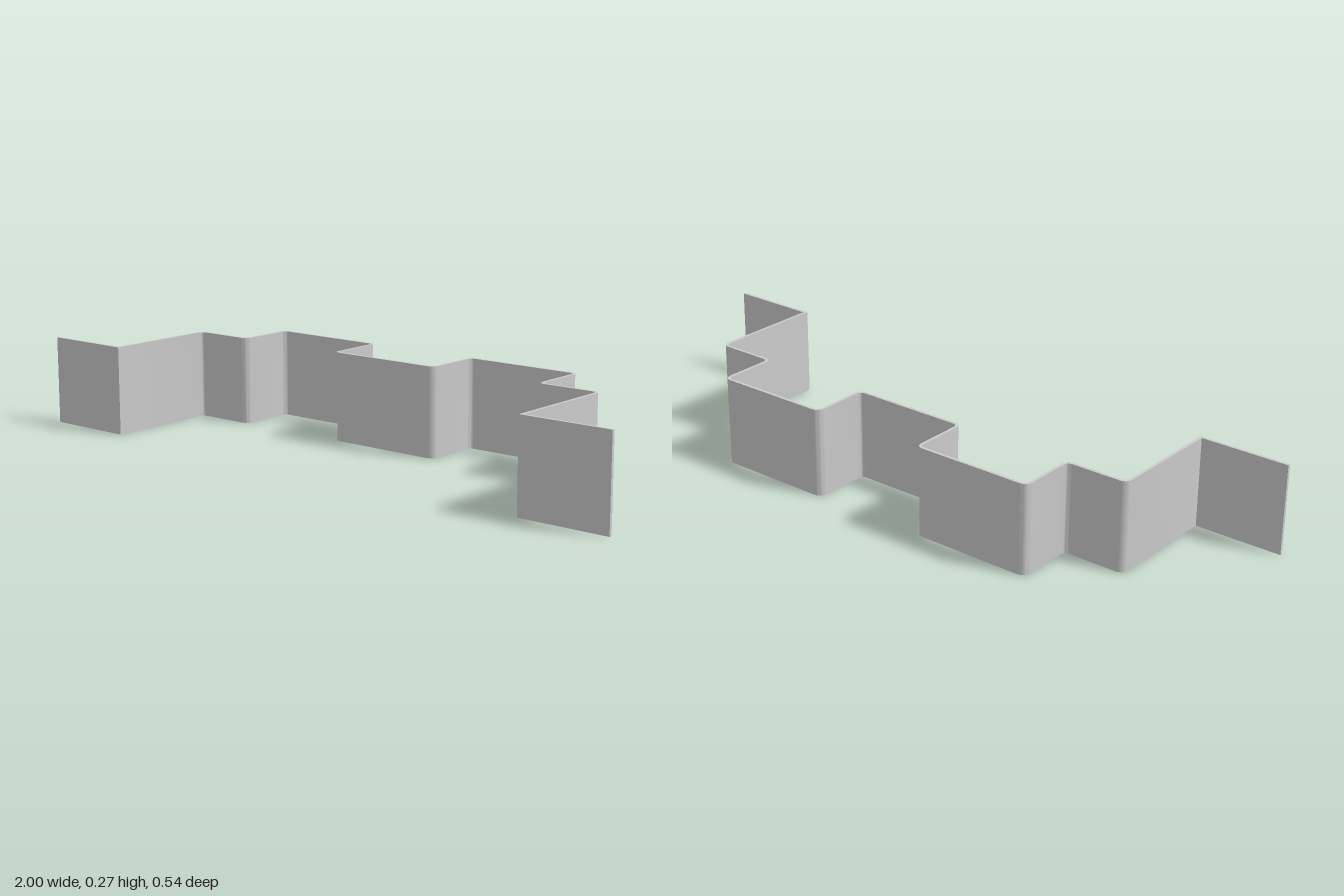
import * as THREE from 'three';
import { toCreasedNormals } from 'three/addons/utils/BufferGeometryUtils.js';

const HEIGHT = 0.266, HALF = 0.0045, BEND = 0.019;

// Centre line of the strip in (x, -z): [x, y, bend radius], left half mirrored from the right.
const half = [
  [0.181, 0.089, BEND], [0.181, 0.266, BEND], [0.543, 0.266, BEND],
  [0.543, 0.089, BEND], [0.731, 0.089, BEND], [0.731, -0.266, 0], [1, -0.266, 0],
];
const path = [...half.map(([x, y, r]) => [-x, y, r]).reverse(), ...half];

// One face of the strip: the centre line shifted sideways, with concentric bends.
function offsetLine(side) {
  const pts = [];
  const corner = path.map(([x, y]) => new THREE.Vector2(x, y));
  const normal = (d) => new THREE.Vector2(-d.y, d.x);
  corner.forEach((c, i) => {
    const before = i > 0 && c.clone().sub(corner[i - 1]).normalize();
    const after = i < corner.length - 1 && corner[i + 1].clone().sub(c).normalize();
    const p = c.clone();
    if (before) p.addScaledVector(normal(before), side * HALF);
    if (after) p.addScaledVector(normal(after), side * HALF);
    if (!before || !after || path[i][2] === 0) return pts.push(p);
    const turn = Math.sign(before.cross(after));
    const r = path[i][2] - turn * side * HALF;
    const centre = p.clone().addScaledVector(before, -r).addScaledVector(after, r);
    for (let k = 0; k <= 6; k++) {
      const a = (k / 6) * Math.PI / 2;
      pts.push(centre.clone()
        .addScaledVector(before, r * Math.sin(a))
        .addScaledVector(after, -r * Math.cos(a)));
    }
  });
  return pts;
}

export function createModel() {
  const group = new THREE.Group();
  group.name = 'bentBracket';

  // Folded sheet strip, extruded upward
  const outline = new THREE.Shape([...offsetLine(-1), ...offsetLine(1).reverse()]);
  const extruded = new THREE.ExtrudeGeometry(outline, { depth: HEIGHT, bevelEnabled: false });
  extruded.rotateX(-Math.PI / 2);
  const strip = new THREE.Mesh(
    toCreasedNormals(extruded, 0.6),
    new THREE.MeshStandardMaterial({ color: 0xcccccc }),
  );
  strip.name = 'foldedStrip';
  group.add(strip);
  return group;
}
